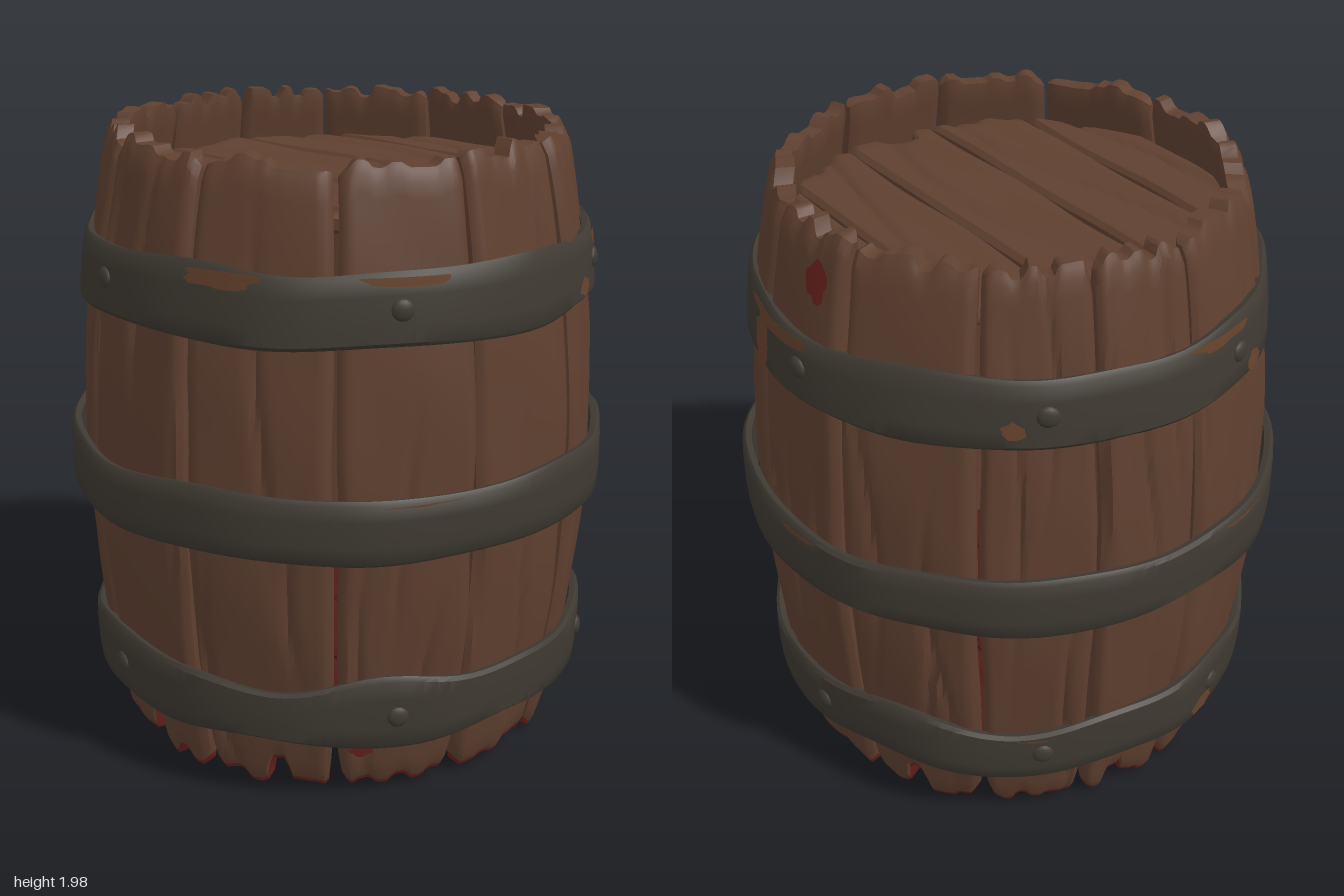
import * as THREE from 'three';
import { toCreasedNormals } from 'three/addons/utils/BufferGeometryUtils.js';

const { lerp, clamp, smoothstep, degToRad } = THREE.MathUtils;
const mat = (name, color) => Object.assign(new THREE.MeshStandardMaterial({ color }), { name });

// Seeded random numbers
function seeded(seed) {
  let s = seed * 7919 + 17;
  return () => ((s = (s * 16807) % 2147483647) / 2147483647);
}

// Stepped, splintered edge: 0..1 along u
function jagged(rand, n) {
  const v = Array.from({ length: n + 2 }, rand);
  return u => {
    const i = Math.floor(u * n), f = u * n - i;
    return lerp(v[i], v[i + 1], smoothstep(f, 0.45, 1));
  };
}

function build(pos, index) {
  const g = new THREE.BufferGeometry();
  g.setAttribute('position', new THREE.Float32BufferAttribute(pos, 3));
  g.setIndex(index);
  return g;
}

// Board with ragged ends. place(u, side, length, endFactor) gives each point;
// the bottom end and a narrow strip beside it form the second material group.
function board(K, rows, lo, hi, place) {
  const pos = [], main = [], tip = [], ring = 2 * (K + 1);
  const ts = [0, 0.007, 0.02, 0.045];
  for (let i = 1; i < rows; i++) ts.push(lerp(0.045, 0.955, i / rows));
  ts.push(0.955, 0.98, 0.993, 1);
  ts.forEach(t => {
    const e = Math.max(0, 1 - Math.min(t, 1 - t) / 0.02);
    for (let k = 0; k < ring; k++) {
      const outer = k <= K, u = (outer ? k : ring - 1 - k) / K;
      pos.push(...place(u, outer, lerp(lo(u), hi(u), t), e));
    }
  });
  const last = (ts.length - 1) * ring;
  for (let v = 0; v < ts.length - 1; v++) {
    for (let k = 0; k < ring; k++) {
      const a = v * ring + k, b = v * ring + (k + 1) % ring;
      (v === 0 ? tip : main).push(a, b, b + ring, a, b + ring, a + ring);
    }
  }
  for (let k = 0; k < K; k++) {
    const p = k, p1 = k + 1, q = ring - 1 - k, q1 = q - 1;
    tip.push(p, q, p1, p1, q, q1);
    main.push(last + p, last + p1, last + q, last + p1, last + q1, last + q);
  }
  const g = build(pos, [...main, ...tip]);
  g.addGroup(0, main.length, 0);
  g.addGroup(main.length, tip.length, 1);
  return toCreasedNormals(g, 0.6);
}

const polar = (a, r, y) => [Math.sin(a) * r, y, Math.cos(a) * r];
const bilge = y => 0.825 - 0.12 * (y - 1) ** 2;
const edgeDrop = u => 0.024 * Math.max(0, 1 - Math.min(u, 1 - u) / 0.08) ** 2;

// Irregular thin patch lying on a curved surface radius(a, y)
function patch(a, y, wa, hy, seed, radius, yMax = 9) {
  const rand = seeded(seed), n = 16, pos = [], idx = [];
  const edge = Array.from({ length: n }, () => 0.75 + 0.4 * rand());
  for (let ring = 0; ring <= 4; ring++) {
    for (let k = 0; k < n; k++) {
      const t = (k / n) * Math.PI * 2, s = (ring / 4) * edge[k];
      const pa = a + wa * s * Math.cos(t), py = Math.min(yMax, y + hy * s * Math.sin(t));
      pos.push(...polar(pa, radius(pa, py), py));
      if (ring < 4) {
        const p = ring * n + k, q = ring * n + (k + 1) % n;
        idx.push(p, p + n, q + n, p, q + n, q);
      }
    }
  }
  const g = build(pos, idx);
  g.computeVertexNormals();
  return g;
}

export function createModel() {
  const model = new THREE.Group();
  model.name = 'barrel';
  const wood = mat('brown wood', 0x5f4030);
  const iron = mat('dark iron', 0x3f3a32);
  const rust = mat('rust', 0x67432c);
  const red = mat('red stain', 0x6a221d);
  const darkRed = mat('dark red wood', 0x4f1c16);
  rust.side = red.side = THREE.DoubleSide;
  const add = (name, geo, material, parent = model) => {
    const m = new THREE.Mesh(geo, material);
    m.name = name;
    parent.add(m);
    return m;
  };

  // Twelve uneven staves; each seam in degrees from the front towards the left
  const seams = [-15.5, 15, 47, 79, 107, 138, 163, 187, 218, 249, 281, 314, 344.5].map(degToRad);
  const notches = [40, 61, 120, 172, 205, 262, 300].map(degToRad);
  const staves = new THREE.Group();
  staves.name = 'staves';
  model.add(staves);
  for (let i = 0; i < 12; i++) {
    const rand = seeded(i + 3), a0 = seams[i], a1 = seams[i + 1], half = (a1 - a0) / 2;
    const top = jagged(rand, 7), bottom = jagged(rand, 6), off = (rand() - 0.5) * 0.014, ph = rand() * 6;
    const grooves = [0.2, 0.5, 0.8].map(c => ({
      c: c + (rand() - 0.5) * 0.2, y: 0.3 + rand() * 1.4, k: 2 + rand() * 3, p: rand() * 6, s: 0.2 + rand() * 0.25,
    }));
    const lo = u => {
      const a = lerp(a0, a1, u);
      const cut = Math.max(...notches.map(n => 1 - smoothstep(Math.abs(a - n), 0.03, 0.062)));
      return 0.015 + 0.055 * bottom(u) + 0.085 * cut + 0.03 * Math.max(0, 1 - Math.min(u, 1 - u) / 0.06);
    };
    const hi = u => 1.995 - 0.05 * top(u) - 0.02 * Math.max(0, 1 - Math.min(u, 1 - u) / 0.06);
    add('stave', board(26, 30, lo, hi, (u, outer, y, e) => {
      const gap = 0.006 + 0.008 * Math.max(0, Math.sin(y * 7 + ph)) + 0.022 * (1 - smoothstep(y, 0.02, 0.2));
      const a = lerp(a0 + gap, a1 - gap, u), d = a - (a0 + a1) / 2;
      const flat = Math.cos(half) / Math.cos(d);
      const R = bilge(y) + off;
      if (!outer) return polar(a, (R - 0.07) * lerp(1, flat, 0.9) + edgeDrop(u) * 0.5 + e * 0.01, y);
      let r = R * lerp(1, flat, 0.5) - edgeDrop(u) - e * 0.012;
      r += 0.005 * Math.sin(u * 5 + y * 4 + ph) * Math.sin(y * 6 + ph * 2);
      for (const g of grooves) {
        const c = g.c + 0.09 * Math.sin(y * g.k + g.p);
        r -= 0.016 * Math.exp(-(((u - c) / 0.035) ** 2) - ((y - g.y) / g.s) ** 2);
      }
      return polar(a, r, y);
    }), [wood, red], staves);
  }

  // Lid and base: five planks each, running front to back
  const cuts = [-0.665, -0.43, -0.14, 0.18, 0.46, 0.67];
  const head = (name, yTop, material, seed) => {
    for (let i = 0; i < 5; i++) {
      const rand = seeded(seed + i), front = jagged(rand, 6), back = jagged(rand, 6), ph = rand() * 6;
      const x = u => lerp(cuts[i] + 0.005, cuts[i + 1] - 0.005, u);
      const reach = u => Math.sqrt(Math.max(0.03, 0.675 ** 2 - x(u) ** 2));
      const notch = u => (i === 2 ? 0.06 * (1 - smoothstep(Math.abs(x(u) + 0.02), 0.03, 0.055)) : 0);
      const geo = board(18, 20,
        u => -reach(u) + 0.035 * front(u) + notch(u),
        u => reach(u) - 0.035 * back(u),
        (u, outer, l, e) => {
          const grain = 0.006 * Math.sin(u * 6 + l * 5 + ph) * Math.sin(l * 4 + ph)
            - 0.012 * Math.exp(-(((u - 0.5 - 0.25 * Math.sin(l * 3 + ph)) / 0.06) ** 2));
          const drop = edgeDrop(u) * 0.7 + e * 0.01;
          const wobble = 0.004 * Math.sin(l * 9 + ph) * (2 * u - 1);
          return [x(u) + wobble, outer ? yTop + grain - drop : yTop - 0.05 - grain + drop, -l];
        });
      add(name, geo, [material, material]);
    }
  };
  head('lidPlank', 1.82, wood, 40);
  head('basePlank', 0.23, darkRed, 60);

  // Beaten iron hoops with wavy edges
  const section = [[-0.03, 0.03], [-0.011, 0], [0, 0.06], [0.003, 0.3], [0.003, 0.7], [0, 0.94], [-0.011, 1], [-0.03, 0.97]];
  const hoops = [
    { name: 'lowerHoop', y0: 0.225, y1: 0.425, r0: 0.797, r1: 0.806, w: 0.022, p: 4.2 },
    { name: 'middleHoop', y0: 0.845, y1: 1.045, r0: 0.86, r1: 0.86, w: 0.007, p: 1 },
    { name: 'upperHoop', y0: 1.47, y1: 1.685, r0: 0.812, r1: 0.788, w: 0.009, p: 2.5 },
  ];
  const dent = (h, a) => 0.005 * Math.sin(a * 7 + h.p) + 0.003 * Math.sin(a * 12 + h.p * 3);
  const topY = (h, a) => h.y1 + h.w * (Math.sin(a * 5 + h.p) + 0.5 * Math.sin(a * 9 + 1));
  const lowY = (h, a) => h.y0 + h.w * 0.6 * Math.sin(a * 6 + h.p * 2);
  const hoopR = (h, a, y) => lerp(h.r0, h.r1, clamp((y - h.y0) / (h.y1 - h.y0), 0, 1)) + dent(h, a);
  for (const h of hoops) {
    const n = 120, m = section.length, pos = [], idx = [];
    for (let i = 0; i < n; i++) {
      const a = (i / n) * Math.PI * 2;
      section.forEach(([dr, f], j) => {
        const y = lerp(lowY(h, a), topY(h, a), f);
        pos.push(...polar(a, hoopR(h, a, y) + dr, y));
        const i1 = (i + 1) % n, j1 = (j + 1) % m;
        idx.push(i * m + j, i1 * m + j, i1 * m + j1, i * m + j, i1 * m + j1, i * m + j1);
      });
    }
    add(h.name, toCreasedNormals(build(pos, idx), 0.7), iron);
  }

  // Domed rivets on the upper and lower hoops
  const dome = new THREE.SphereGeometry(0.034, 14, 6, 0, Math.PI * 2, 0, Math.PI / 2).rotateX(Math.PI / 2).scale(1, 1, 0.5);
  for (const [h, y] of [[hoops[0], 0.325], [hoops[2], 1.58]]) {
    for (const a of [33, 96.5, 152, 200, 256, 327.5].map(degToRad)) {
      const rivet = add('rivet', dome, iron);
      rivet.position.set(...polar(a, hoopR(h, a, y), y));
      rivet.rotation.y = a;
    }
  }

  // Rust patches: hoop, angle, height, half width, half height
  const rustSpots = [
    [2, -32, 1.67, 11, 0.03], [2, 23, 1.52, 3.2, 0.028], [2, 86, 1.66, 13, 0.04], [2, 80, 1.56, 4.5, 0.09],
    [2, 35, 1.65, 4, 0.04], [2, 145, 1.54, 2.5, 0.03], [2, 193, 1.67, 10, 0.03], [2, 206, 1.52, 3, 0.028],
    [2, 290, 1.66, 9, 0.035], [1, -29, 1.035, 9, 0.015], [1, 97, 1.03, 6, 0.02], [1, 200, 1.035, 8, 0.015],
    [0, 196, 0.27, 5, 0.03], [0, 150, 0.4, 6, 0.025],
  ];
  rustSpots.forEach(([k, deg, y, wa, hy], i) => {
    const h = hoops[k], a = degToRad(deg);
    add('rustPatch', patch(a, y, degToRad(wa), hy, i + 5, (b, v) => hoopR(h, b, v) + 0.006, topY(h, a) - 0.014), rust);
  });

  // Red stains on the staves
  for (const [deg, y, wa, hy] of [[98.5, 1.84, 3.5, 0.06], [-40, 0.19, 3, 0.025], [53, 0.13, 3, 0.02]]) {
    add('redStain', patch(degToRad(deg), y, degToRad(wa), hy, deg + 90, (b, v) => bilge(v) + 0.003), red);
  }
  return model;
}
